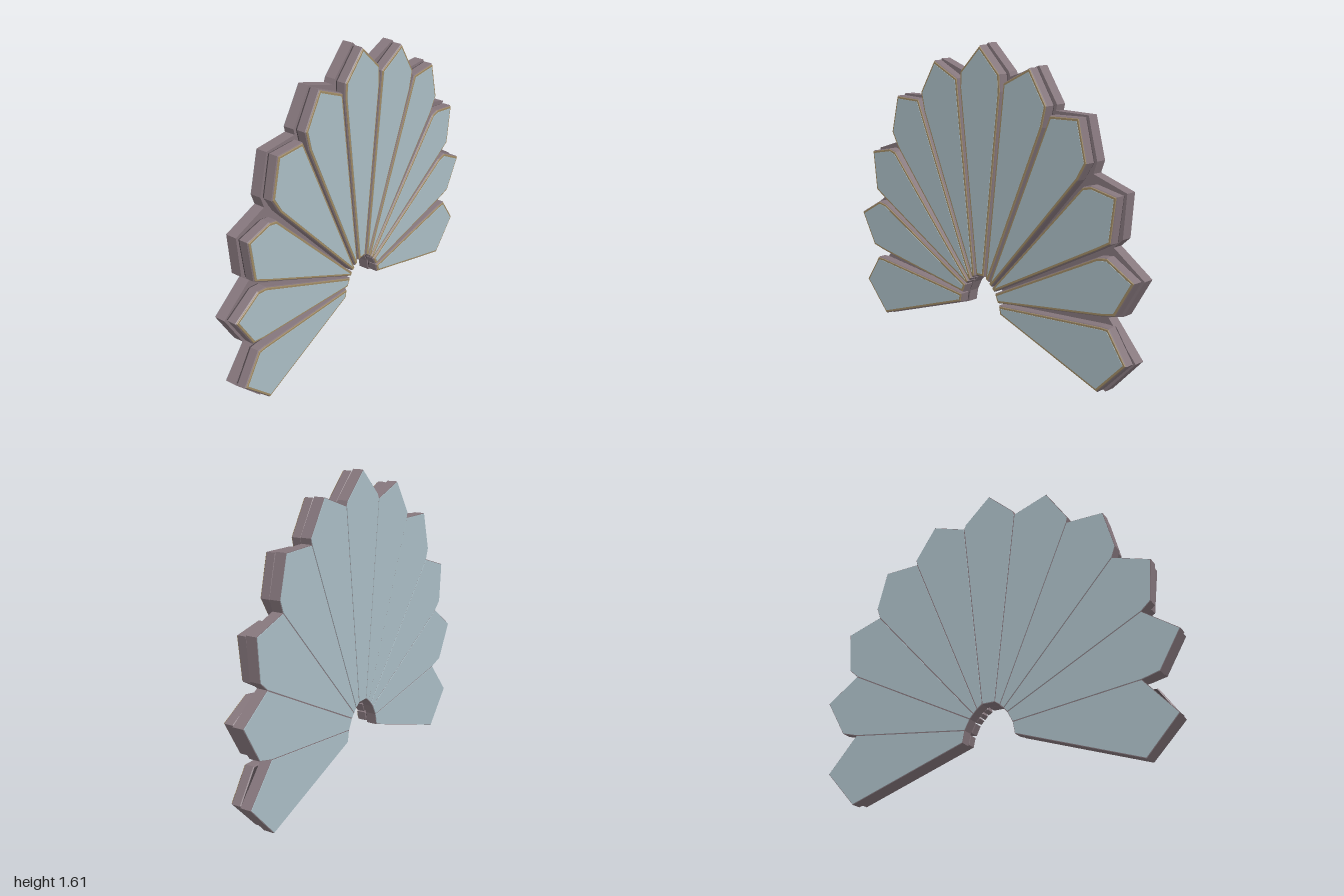
import * as THREE from 'three';

const panel = new THREE.MeshStandardMaterial({ name: 'pale blue panel', color: 0xabbec6 });
const gold = new THREE.MeshStandardMaterial({ name: 'dull gold trim', color: 0xa08b66 });
const mauve = new THREE.MeshStandardMaterial({ name: 'mauve frame', color: 0x85767c });
const dark = new THREE.MeshStandardMaterial({ name: 'dark groove', color: 0x4b4246 });

// Raised petal outlines as [z, y], from the upper base corner round the tip
const RAISED = [
  [[-0.03, 0.412], [-0.145, 1.38], [-0.14, 1.465], [0, 1.6], [0.14, 1.465], [0.145, 1.38], [0.03, 0.412]],
  [[0.04, 0.405], [0.165, 1.425], [0.34, 1.508], [0.45, 1.335], [0.425, 1.23], [0.06, 0.392]],
  [[0.066, 0.386], [0.452, 1.255], [0.47, 1.295], [0.648, 1.3], [0.7, 1.095], [0.65, 1.01], [0.082, 0.371]],
  [[0.087, 0.366], [0.675, 0.985], [0.725, 0.998], [0.877, 0.968], [0.85, 0.745], [0.77, 0.7], [0.103, 0.349]],
  [[0.108, 0.342], [0.77, 0.67], [0.83, 0.68], [0.99, 0.592], [0.885, 0.412], [0.81, 0.395], [0.13, 0.295]],
  [[0.137, 0.285], [0.8, 0.345], [0.85, 0.345], [0.958, 0.19], [0.79, 0.015], [0.147, 0.237]],
];
// Wider backing petals, meeting along shared seams
const BACKING = [
  [[-0.035, 0.41], [-0.155, 1.45], [-0.145, 1.475], [0, 1.61], [0.145, 1.475], [0.155, 1.45], [0.035, 0.41]],
  [[0.035, 0.41], [0.155, 1.45], [0.345, 1.515], [0.462, 1.34], [0.455, 1.31], [0.064, 0.389]],
  [[0.064, 0.389], [0.455, 1.31], [0.655, 1.307], [0.711, 1.1], [0.69, 1.04], [0.085, 0.368]],
  [[0.085, 0.368], [0.69, 1.04], [0.887, 0.977], [0.87, 0.76], [0.82, 0.715], [0.105, 0.345]],
  [[0.105, 0.345], [0.82, 0.715], [1, 0.59], [0.89, 0.4], [0.8, 0.375], [0.134, 0.29]],
  [[0.134, 0.29], [0.8, 0.375], [0.966, 0.188], [0.797, 0.003], [0.146, 0.228]],
];

// Shrinks a convex outline by d, clipping it against each moved-in edge
function inset(pts, d) {
  const cx = pts.reduce((s, p) => s + p[0], 0) / pts.length;
  const cy = pts.reduce((s, p) => s + p[1], 0) / pts.length;
  let out = pts;
  pts.forEach((a, i) => {
    const b = pts[(i + 1) % pts.length];
    const len = Math.hypot(b[0] - a[0], b[1] - a[1]);
    let nx = -(b[1] - a[1]) / len, ny = (b[0] - a[0]) / len;
    if ((cx - a[0]) * nx + (cy - a[1]) * ny < 0) { nx = -nx; ny = -ny; }
    const dist = p => (p[0] - a[0]) * nx + (p[1] - a[1]) * ny - d;
    const next = [];
    out.forEach((p, j) => {
      const q = out[(j + 1) % out.length], dp = dist(p), dq = dist(q);
      if (dp >= 0) next.push(p);
      if (dp * dq < 0) {
        const t = dp / (dp - dq);
        next.push([p[0] + (q[0] - p[0]) * t, p[1] + (q[1] - p[1]) * t]);
      }
    });
    out = next;
  });
  return out;
}

// Extrudes a [z, y] outline between two x positions, with an optional edge bevel
function slab(name, pts, x0, x1, material, bevel = 0) {
  const shape = new THREE.Shape(pts.map(p => new THREE.Vector2(-p[0], p[1])));
  const geo = new THREE.ExtrudeGeometry(shape, {
    depth: x1 - x0 - 2 * bevel, bevelEnabled: bevel > 0, bevelSize: bevel,
    bevelThickness: bevel, bevelOffset: -bevel, bevelSegments: 1,
  });
  geo.translate(0, 0, x0 + bevel);
  geo.rotateY(Math.PI / 2);
  const mesh = new THREE.Mesh(geo, material);
  mesh.name = name;
  return mesh;
}

function petal(raised, backing) {
  const g = new THREE.Group();
  g.name = 'petal';
  g.add(
    // backing layer and its flat rear panel
    slab('backFrame', backing, -0.06, -0.003, mauve),
    slab('backPanel', inset(backing, 0.003), -0.063, -0.059, panel),
    // recessed seam between the layers
    slab('seam', inset(raised, 0.005), -0.004, 0.004, dark),
    // raised layer with trim and inlaid panel
    slab('frontFrame', raised, 0.003, 0.055, mauve, 0.004),
    slab('trim', inset(raised, 0.004), 0.05, 0.059, gold, 0.002),
    slab('frontPanel', inset(raised, 0.015), 0.055, 0.061, panel),
  );
  return g;
}

export function createModel() {
  const fan = new THREE.Group();
  fan.name = 'fan';
  const mirror = pts => pts.map(([z, y]) => [-z, y]);
  RAISED.forEach((r, i) => {
    fan.add(petal(r, BACKING[i]));
    if (i > 0) fan.add(petal(mirror(r), mirror(BACKING[i])));
  });
  return fan;
}
